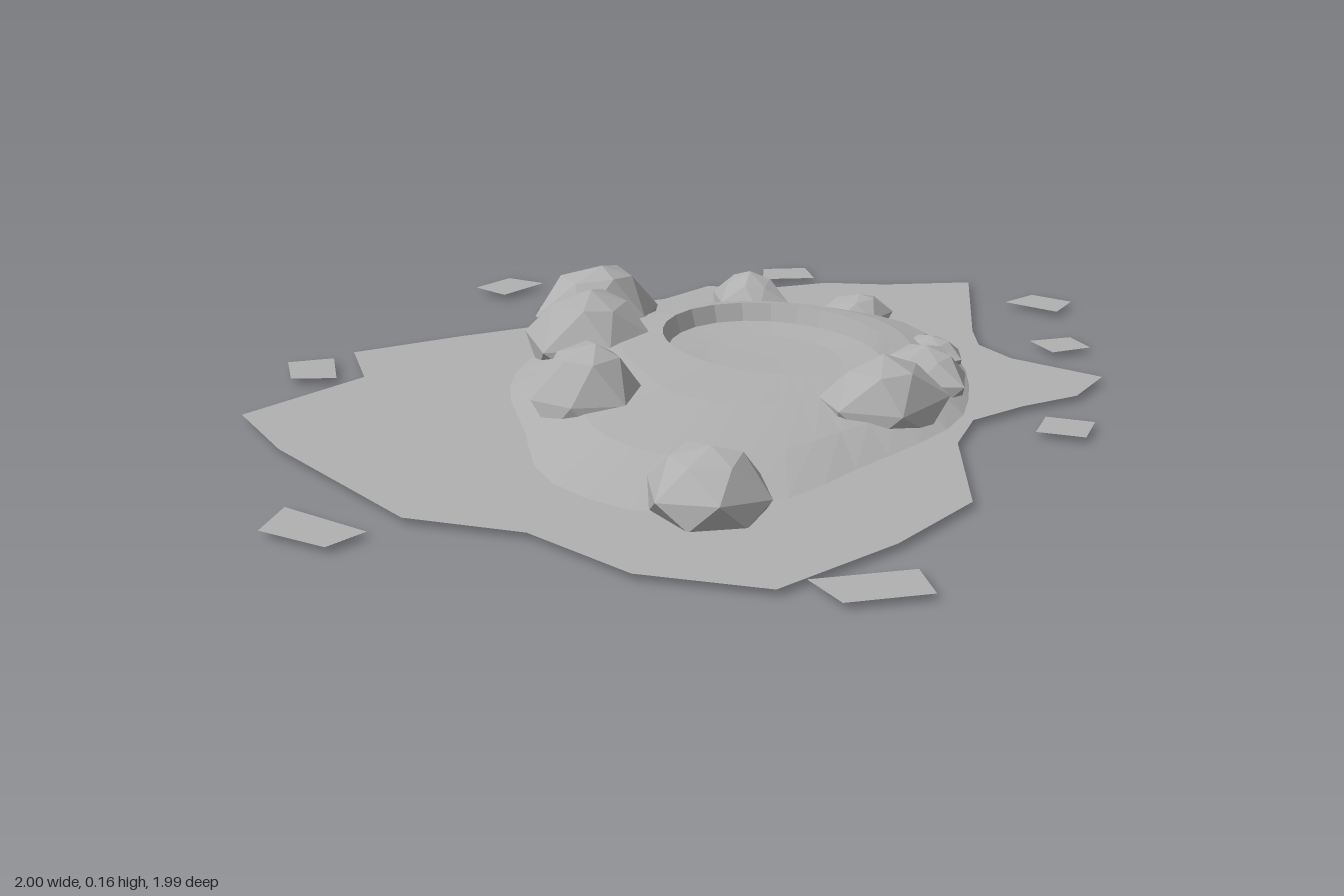
import * as THREE from 'three';

const stone = new THREE.MeshStandardMaterial({ color: 0xb0b0b0, side: THREE.DoubleSide });
stone.name = 'grey stone';

const GROUND = 0.012;

// Joins rings of points into a faceted skin, from the outside or bottom inwards
function loft(rings) {
  const pos = [];
  const tri = (a, b, c) => {
    if (a.equals(b) || b.equals(c) || a.equals(c)) return;
    for (const p of [a, b, c]) pos.push(p.x, p.y, p.z);
  };
  for (let r = 0; r < rings.length - 1; r++) {
    const n = rings[r].length;
    for (let i = 0; i < n; i++) {
      const j = (i + 1) % n;
      tri(rings[r][i], rings[r + 1][i], rings[r][j]);
      tri(rings[r][j], rings[r + 1][i], rings[r + 1][j]);
    }
  }
  const g = new THREE.BufferGeometry();
  g.setAttribute('position', new THREE.Float32BufferAttribute(pos, 3));
  g.computeVertexNormals();
  return g;
}

// Flat plate from [x, z] corners
function plate(corners, hole) {
  const toShape = (p) => new THREE.Vector2(p[0], -p[1]);
  const shape = new THREE.Shape(corners.map(toShape));
  if (hole) shape.holes.push(new THREE.Path(hole.map(toShape)));
  return new THREE.ShapeGeometry(shape).rotateX(-Math.PI / 2).translate(0, GROUND, 0);
}

// Boulder with a flat foot, shoulders and a pointed crown
function boulder(x, z, rx, rz, top, foot, seed) {
  const n = 6;
  let s = seed * 7919 + 13;
  const rand = () => (s = (s * 16807) % 2147483647) / 2147483647;
  for (let i = 0; i < 5; i++) rand();
  const spin = rand() * 6;
  const h = top - foot;
  const levels = [[0, 0.9], [0.38, 1.03], [0.84, 0.58]];
  const rings = levels.map(([t, r], k) => Array.from({ length: n }, (_, i) => {
    const a = spin + ((i + k / 2) / n) * Math.PI * 2 + (rand() - 0.5) * 0.25;
    const q = r * (0.94 + rand() * 0.12);
    const y = foot + h * (k ? t + (rand() - 0.5) * 0.14 : 0);
    return new THREE.Vector3(x + Math.cos(a) * rx * q, y, z + Math.sin(a) * rz * q);
  }));
  const crown = new THREE.Vector3(x + (rand() - 0.5) * rx * 0.3, top, z + (rand() - 0.5) * rz * 0.3);
  rings.push(Array(n).fill(crown));
  return loft(rings);
}

export function createModel() {
  const model = new THREE.Group();
  const add = (name, geometry) => {
    const mesh = new THREE.Mesh(geometry, stone);
    mesh.name = name;
    model.add(mesh);
  };

  // Foot of the mound
  const footPoints = [
    [0.57, -0.15], [0.52, 0.05], [0.42, 0.22], [0.28, 0.37], [0, 0.48], [-0.22, 0.55], [-0.42, 0.49],
    [-0.5, 0.27], [-0.43, 0.02], [-0.34, -0.25], [-0.2, -0.42], [0, -0.52], [0.25, -0.5], [0.45, -0.38],
  ];
  const curve = new THREE.CatmullRomCurve3(
    footPoints.map(([x, z]) => new THREE.Vector3(x, GROUND, z)), true);
  const foot = curve.getSpacedPoints(36).slice(0, 36);

  // Mound rising to an oval crater with a steep wall and shallow floor
  const cx = 0.175, cz = -0.105;
  const oval = (scale, y) => foot.map((p) => {
    const a = Math.atan2((p.z - cz) / 0.27, (p.x - cx) / 0.21);
    return new THREE.Vector3(cx + Math.cos(a) * 0.21 * scale, y, cz + Math.sin(a) * 0.27 * scale);
  });
  const rim = oval(1, 0.072);
  const slope = (t, y) => foot.map((p, i) => p.clone().lerp(rim[i], t).setY(y));
  add('mound', loft([foot, slope(0.3, 0.045), slope(0.7, 0.065), rim]));
  add('craterWall', loft([rim, oval(0.95, 0.036)]));
  add('craterFloor', loft([oval(0.95, 0.036), oval(0.6, 0.03), oval(0, 0.028)]));

  // Ragged ground sheet around the mound
  add('groundSheet', plate([
    [-0.85, -0.33], [-0.57, -0.44], [-0.53, -0.61], [-0.29, -0.61], [-0.12, -0.6], [-0.05, -0.74],
    [0.1, -0.67], [0.22, -0.66], [0.36, -0.71], [0.45, -0.63], [0.61, -0.6], [0.72, -0.52],
    [0.9, -0.44], [0.67, -0.11], [0.62, -0.02], [0.62, 0.09], [0.7, 0.28], [0.58, 0.35],
    [0.45, 0.35], [0.32, 0.37], [0.22, 0.46], [0.07, 0.71], [-0.14, 0.8], [-0.4, 0.86],
    [-0.56, 0.7], [-0.63, 0.47], [-0.78, 0.31], [-0.85, -0.11],
  ], foot.map((p) => [p.x, p.z])));

  // Loose flat chips scattered outside the sheet
  [
    [[-0.11, -0.96], [-0.01, -1], [0.04, -0.92], [-0.08, -0.87]],
    [[0.55, -0.78], [0.64, -0.74], [0.61, -0.65], [0.5, -0.7]],
    [[-0.67, -0.61], [-0.58, -0.59], [-0.62, -0.46], [-0.7, -0.5]],
    [[0.87, -0.26], [0.96, -0.28], [1, -0.19], [0.92, -0.14]],
    [[0.73, 0.01], [0.82, 0.03], [0.81, 0.11], [0.72, 0.1]],
    [[0.38, 0.48], [0.45, 0.42], [0.51, 0.49], [0.44, 0.55]],
    [[-0.93, 0.17], [-0.85, 0.34], [-0.93, 0.37], [-1, 0.25]],
    [[-0.34, 0.85], [-0.17, 0.9], [-0.2, 0.99], [-0.34, 0.95]],
  ].forEach((c, i) => add('chip' + (i + 1), plate(c)));

  // Boulders around the crater: x, z, half width, half depth, top, foot
  [
    [-0.03, -0.49, 0.135, 0.105, 0.16, 0],
    [-0.12, -0.345, 0.13, 0.12, 0.15, 0],
    [-0.28, -0.015, 0.108, 0.108, 0.15, 0],
    [-0.33, 0.525, 0.105, 0.112, 0.122, 0.01],
    [0.165, 0.3, 0.12, 0.102, 0.14, 0.01],
    [0.335, 0.18, 0.085, 0.105, 0.105, 0.01],
    [0.315, -0.445, 0.075, 0.1, 0.11, 0.01],
    [0.495, -0.3, 0.08, 0.072, 0.072, 0.01],
    [0.455, 0.035, 0.065, 0.075, 0.068, 0.01],
  ].forEach((b, i) => add('boulder' + (i + 1), boulder(...b, i + 1)));

  return model;
}
